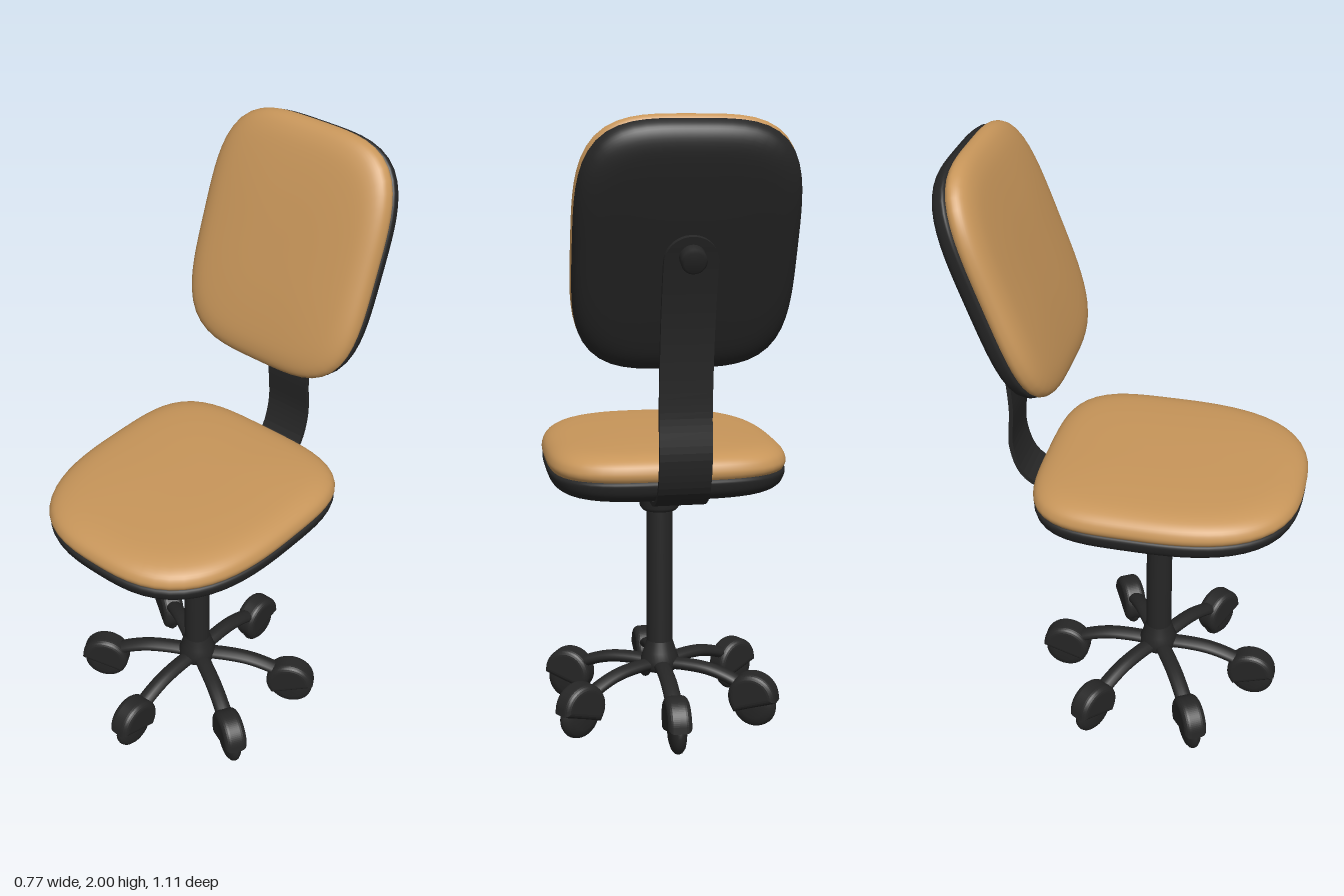
import * as THREE from 'three';
import { mergeVertices } from 'three/addons/utils/BufferGeometryUtils.js';

const black = new THREE.MeshStandardMaterial({ color: 0x262626 });
const tan = new THREE.MeshStandardMaterial({ color: 0xc8965a });
const v2 = (list) => list.map(([x, y]) => new THREE.Vector2(x, y));

function addMesh(parent, name, geometry, material) {
  const mesh = new THREE.Mesh(geometry, material);
  mesh.name = name;
  parent.add(mesh);
  return mesh;
}

// Turned profile whose circular rings are pushed out to a superellipse outline
function pad(profile, halfWidth, front, back, nFront, nBack) {
  const points = new THREE.SplineCurve(v2(profile)).getPoints(28);
  points.forEach((p) => { p.x = Math.max(p.x, 0); });
  let geo = new THREE.LatheGeometry(points, 72);
  const pos = geo.attributes.position;
  for (let i = 0; i < pos.count; i++) {
    const x = pos.getX(i), z = pos.getZ(i), r = Math.hypot(x, z);
    if (r < 1e-6) continue;
    const n = z > 0 ? nFront : nBack, depth = z > 0 ? front : back;
    const k = Math.pow(Math.pow(Math.abs(x / r) / halfWidth, n) + Math.pow(Math.abs(z / r) / depth, n), -1 / n);
    pos.setX(i, x * k);
    pos.setZ(i, z * k);
  }
  geo.deleteAttribute('uv');
  geo.deleteAttribute('normal');
  geo = mergeVertices(geo, 1e-5);
  geo.computeVertexNormals();
  return geo;
}

const cushionProfile = [[0.975, 0], [0.997, 0.013], [1, 0.03], [0.97, 0.053], [0.89, 0.071], [0.74, 0.082], [0.4, 0.089], [0, 0.09]];
const shellProfile = [[0, -0.083], [0.4, -0.082], [0.72, -0.077], [0.87, -0.067], [0.955, -0.048], [0.99, -0.022], [0.988, 0], [0.9, 0.008]];
const thin = (profile, k) => profile.map(([r, y]) => [r, y * k]);

// Flat strip in the y-z plane, bent along a curve, with a rounded upper end
function bracketGeometry() {
  const curve = new THREE.CatmullRomCurve3(
    [[0.83, -0.2], [0.835, -0.29], [0.88, -0.365], [0.98, -0.402], [1.14, -0.397], [1.38, -0.422], [1.55, -0.462], [1.665, -0.5]]
      .map(([y, z]) => new THREE.Vector3(0, y, z)));
  const steps = 60, length = curve.getLength(), half = 0.08, t = 0.007;
  const positions = [], index = [];
  for (let i = 0; i <= steps; i++) {
    const u = 1 - Math.pow(1 - i / steps, 1.5);
    const p = curve.getPointAt(u), d = curve.getTangentAt(u);
    const left = (1 - u) * length, cut = Math.max(0, half - left);
    const w = Math.max(0.002, Math.sqrt(half * half - cut * cut));
    for (const [sx, sn] of [[-1, -1], [1, -1], [1, 1], [-1, 1]]) {
      positions.push(sx * w, p.y - d.z * sn * t, p.z + d.y * sn * t);
    }
    if (i === steps) break;
    for (let j = 0; j < 4; j++) {
      const a = i * 4 + j, b = i * 4 + (j + 1) % 4;
      index.push(a, a + 4, b, b, a + 4, b + 4);
    }
  }
  const e = steps * 4;
  index.push(0, 1, 2, 0, 2, 3, e, e + 2, e + 1, e, e + 3, e + 2);
  let geo = new THREE.BufferGeometry();
  geo.setAttribute('position', new THREE.Float32BufferAttribute(positions, 3));
  geo.setIndex(index);
  geo = geo.toNonIndexed();
  geo.computeVertexNormals();
  return geo;
}

// One arched leg with its hooded caster, pointing along +z
function makeLeg() {
  const leg = new THREE.Group();
  leg.name = 'leg';
  const path = new THREE.CatmullRomCurve3(
    [[0.18, 0], [0.184, 0.1], [0.178, 0.18], [0.158, 0.25], [0.125, 0.32]].map(([y, z]) => new THREE.Vector3(0, y, z)));
  addMesh(leg, 'legArm', new THREE.TubeGeometry(path, 20, 0.02, 12), black).scale.x = 1.4;

  const caster = new THREE.Group();
  caster.name = 'caster';
  caster.position.z = 0.335;
  leg.add(caster);

  // Rounded hood, cut higher on the outer side
  const shape = new THREE.Shape();
  shape.absarc(0, 0.105, 0.061, 0.1, Math.PI + 0.55, false);
  const hood = new THREE.ExtrudeGeometry(shape, {
    depth: 0.036, bevelThickness: 0.021, bevelSize: 0.021, bevelSegments: 5, curveSegments: 24,
  });
  hood.translate(0, 0, -0.018);
  hood.rotateY(-Math.PI / 2);
  addMesh(caster, 'casterHood', hood, black);

  const profile = v2([[0, -0.028], [0.04, -0.026], [0.06, -0.02], [0.072, -0.01], [0.075, 0], [0.072, 0.01], [0.06, 0.02], [0.04, 0.026], [0, 0.028]]);
  const wheel = addMesh(caster, 'wheel', new THREE.LatheGeometry(profile, 32), black);
  wheel.rotation.z = Math.PI / 2;
  wheel.position.set(0, 0.075, 0.004);
  return leg;
}

export function createModel() {
  const chair = new THREE.Group();
  chair.name = 'officeChair';

  // Six-legged rolling base
  const base = new THREE.Group();
  base.name = 'base';
  base.position.z = 0.077;
  chair.add(base);
  for (let i = 0; i < 6; i++) {
    const leg = makeLeg();
    leg.rotation.y = (i * Math.PI) / 3;
    base.add(leg);
  }

  // Hub, gas column and collar
  addMesh(base, 'hub', new THREE.LatheGeometry(
    v2([[0, 0.16], [0.055, 0.16], [0.064, 0.175], [0.064, 0.2], [0.055, 0.225], [0.046, 0.255], [0.042, 0.27]]), 32), black);
  addMesh(base, 'column', new THREE.CylinderGeometry(0.043, 0.044, 0.56, 32), black).position.y = 0.5;
  addMesh(base, 'collar', new THREE.LatheGeometry(
    v2([[0.03, 0.722], [0.058, 0.722], [0.066, 0.734], [0.068, 0.77], [0.072, 0.785], [0.072, 0.84]]), 32), black);

  // Seat: rounded front, squarer back
  const seat = new THREE.Group();
  seat.name = 'seat';
  seat.position.set(0, 0.903, 0.05);
  chair.add(seat);
  addMesh(seat, 'seatCushion', pad(cushionProfile, 0.383, 0.5, 0.353, 2.8, 3.7), tan);
  addMesh(seat, 'seatShell', pad(shellProfile, 0.383, 0.5, 0.353, 2.8, 3.7), black);

  // Backrest, leaning backwards
  const backrest = new THREE.Group();
  backrest.name = 'backrest';
  backrest.position.set(0, 1.624, -0.383);
  backrest.rotation.x = Math.PI / 2 - 0.345;
  chair.add(backrest);
  addMesh(backrest, 'backCushion', pad(thin(cushionProfile, 0.92), 0.332, 0.39, 0.39, 3.7, 3.7), tan);
  addMesh(backrest, 'backShell', pad(thin(shellProfile, 0.95), 0.332, 0.39, 0.39, 3.7, 3.7), black);

  // Bent support strip and its clamping knob
  addMesh(chair, 'backSupport', bracketGeometry(), black);
  const knob = new THREE.Group();
  knob.name = 'knob';
  knob.position.set(0, 1.605, -0.492);
  knob.rotation.x = Math.PI / 2 - 0.345;
  chair.add(knob);
  addMesh(knob, 'knobStem', new THREE.CylinderGeometry(0.02, 0.02, 0.1, 20), black).position.y = 0.02;
  addMesh(knob, 'knobGrip', new THREE.LatheGeometry(
    v2([[0, -0.042], [0.03, -0.042], [0.038, -0.034], [0.038, 0], [0.03, 0.008], [0, 0.008]]), 24), black);

  return chair;
}
